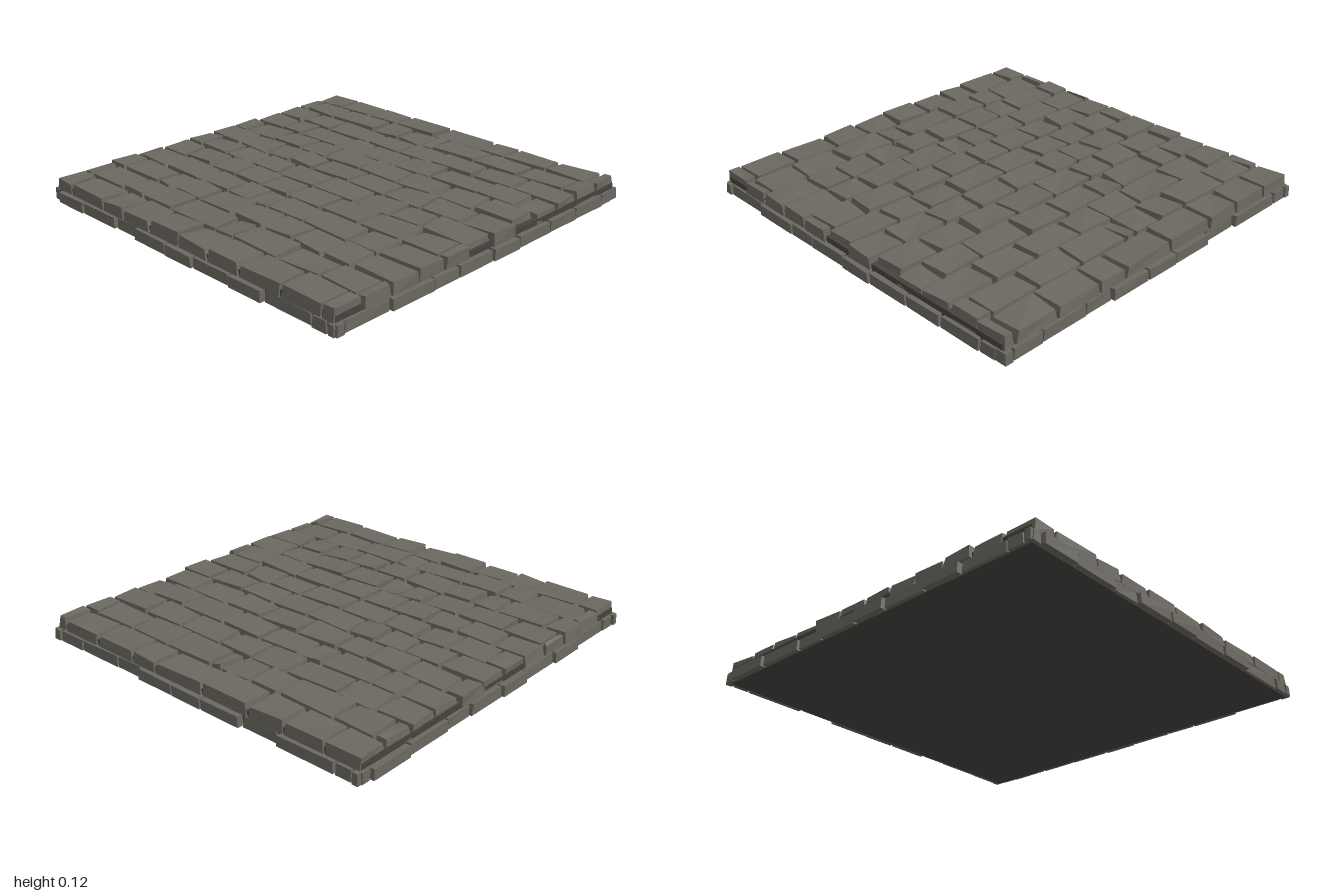
import * as THREE from 'three';
import { mergeGeometries } from 'three/addons/utils/BufferGeometryUtils.js';

// x positions of the joints in each row of paving, back to front
const ROWS = [
  [-.97, -.78, -.56, -.35, -.07, .24, .40, .66, .90, .97],
  [-.97, -.90, -.68, -.37, -.19, -.02, .05, .34, .60, .87, .97],
  [-.97, -.77, -.55, -.25, -.04, .17, .45, .70, .97],
  [-.97, -.76, -.61, -.32, -.18, .08, .32, .61, .84, .97],
  [-.98, -.88, -.64, -.43, -.26, -.01, .24, .48, .72, .95],
  [-.97, -.73, -.52, -.35, -.19, .08, .31, .54, .78, .98],
  [-.97, -.86, -.65, -.46, -.26, 0, .28, .49, .68, .96],
  [-.98, -.79, -.58, -.39, -.19, 0, .21, .46, .72, .93, .98],
  [-.98, -.95, -.73, -.47, -.25, -.10, .04, .28, .55, .74, .98],
  [-.99, -.86, -.59, -.44, -.26, -.02, .19, .38, .57, .74, .98],
  [-.98, -.91, -.64, -.48, -.26, .05, .18, .46, .71, .93, .98],
  [-.97, -.84, -.57, -.41, -.21, 0, .20, .41, .66, .90, .97],
];
// Joints of the lower edging course along each side
const EDGE = [-.98, -.93, -.72, -.46, -.30, -.07, .12, .36, .57, .85, .94, .98];

let seed = 1;
function jitter(amount) {
  seed = (seed * 16807) % 2147483647;
  return (seed / 2147483647 * 2 - 1) * amount;
}

// A rough-hewn block: a box whose eight corners are each nudged
function stone(x0, x1, y0, y1, z0, z1, dx, dy, dz) {
  const corners = {};
  for (const sx of [-1, 1]) for (const sy of [-1, 1]) for (const sz of [-1, 1]) {
    const top = sy > 0;
    corners[`${sx},${sy},${sz}`] = [
      (sx < 0 ? x0 : x1) - sx * Math.abs(jitter(top ? dx : dx / 3)),
      top ? y1 + jitter(dy) : y0,
      (sz < 0 ? z0 : z1) - sz * Math.abs(jitter(top ? dz : dz / 3)),
    ];
  }
  const geo = new THREE.BoxGeometry(2, 2, 2);
  const p = geo.attributes.position;
  for (let i = 0; i < p.count; i++) {
    p.setXYZ(i, ...corners[`${p.getX(i)},${p.getY(i)},${p.getZ(i)}`]);
  }
  const flat = geo.toNonIndexed();
  flat.computeVertexNormals();
  return flat;
}

export function createModel() {
  seed = 4711;
  const model = new THREE.Group();
  const stoneMat = new THREE.MeshStandardMaterial({ color: 0x6b6860, flatShading: true });
  stoneMat.name = 'grey stone';
  const mortarMat = new THREE.MeshStandardMaterial({ color: 0x47443f });
  mortarMat.name = 'dark mortar';

  function add(name, geometry, material) {
    const mesh = new THREE.Mesh(geometry, material);
    mesh.name = name;
    model.add(mesh);
    return mesh;
  }

  // Mortar bed filling the joints and forming the underside
  const bed = add('mortarBed', new THREE.BoxGeometry(1.93, 0.085, 1.93), mortarMat);
  bed.position.y = 0.0425;

  // Paving rows
  const pitch = 0.1632, gap = 0.003;
  ROWS.forEach((xs, r) => {
    const z0 = -0.979 + r * pitch;
    const blocks = [];
    for (let i = 0; i < xs.length - 1; i++) {
      blocks.push(stone(xs[i] + gap, xs[i + 1] - gap, 0.058, 0.115 + jitter(0.004),
        z0 + gap, z0 + pitch - gap, Math.min(0.018, (xs[i + 1] - xs[i]) / 4), 0.007, 0.012));
    }
    add(`pavingRow${r + 1}`, mergeGeometries(blocks), stoneMat);
  });

  // Lower edging course on the four sides
  ['front', 'left', 'back', 'right'].forEach((side, s) => {
    const blocks = [];
    const shift = [0, 0.05, -0.04, 0.03][s];
    for (let i = 0; i < EDGE.length - 1; i++) {
      const a = EDGE[i] + (i > 1 && i < 9 ? shift : 0);
      const b = EDGE[i + 1] + (i > 0 && i < 8 ? shift : 0);
      const out = i === 5 ? 1 : 0.987 + jitter(0.012);
      blocks.push(stone(a + gap, b - gap, 0.003, 0.056, 0.9, out, 0.008, 0.002, 0.006));
    }
    add(`${side}Edging`, mergeGeometries(blocks), stoneMat).rotation.y = s * Math.PI / 2;
  });

  return model;
}
